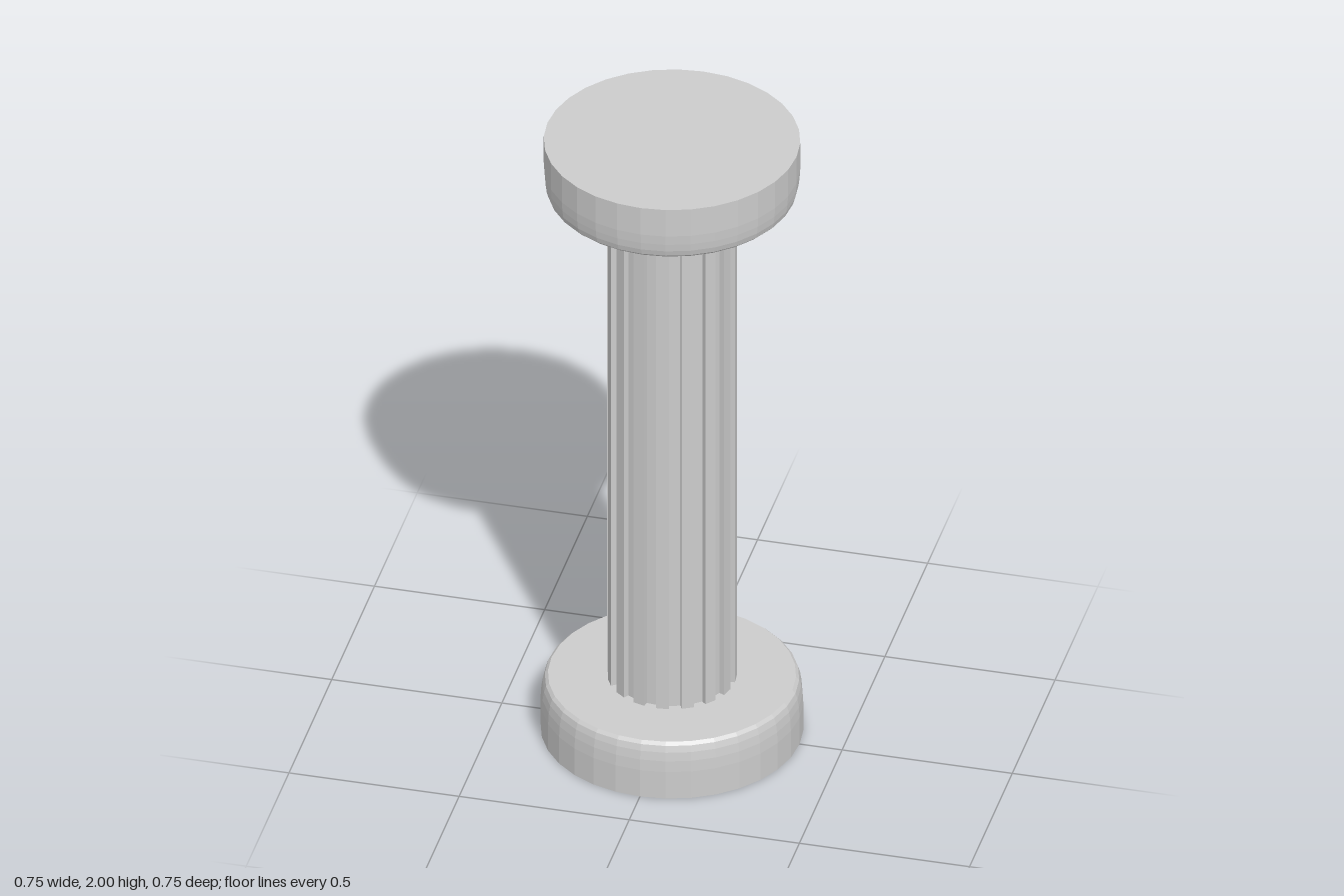
import * as THREE from 'three';

const SIDES = 32;

export function createModel() {
  const model = new THREE.Group();
  model.name = 'column';
  const stone = new THREE.MeshStandardMaterial({ color: 0xcccccc, flatShading: true });
  stone.name = 'stone grey';

  const add = (name, geometry) => {
    const mesh = new THREE.Mesh(geometry, stone);
    mesh.name = name;
    model.add(mesh);
    return mesh;
  };
  const lathe = (profile) =>
    new THREE.LatheGeometry(profile.map(([r, y]) => new THREE.Vector2(r, y)), SIDES);

  // Base disc with a softly rounded upper rim
  add('base', lathe([
    [0, 0], [0.375, 0], [0.375, 0.09], [0.373, 0.125], [0.369, 0.152],
    [0.363, 0.171], [0.354, 0.18], [0, 0.18],
  ]));

  // Capital disc with a softly rounded lower rim
  add('capital', lathe([
    [0, 1.83], [0.348, 1.83], [0.356, 1.838], [0.361, 1.856],
    [0.364, 1.88], [0.366, 1.91], [0.366, 2], [0, 2],
  ]));

  // Fluted shaft: every second facet is sunk between radial walls
  const outer = 0.185, inner = 0.168;
  const points = [];
  for (let k = 0; k < SIDES; k++) {
    const r = k % 2 === 0 ? outer : inner;
    for (const a of [k, k + 1]) {
      const angle = (a / SIDES) * Math.PI * 2;
      points.push(new THREE.Vector2(r * Math.sin(angle), -r * Math.cos(angle)));
    }
  }
  const shaft = new THREE.ExtrudeGeometry(new THREE.Shape(points), { depth: 1.67, bevelEnabled: false });
  shaft.rotateX(-Math.PI / 2).translate(0, 0.17, 0);
  add('flutedShaft', shaft);

  return model;
}
